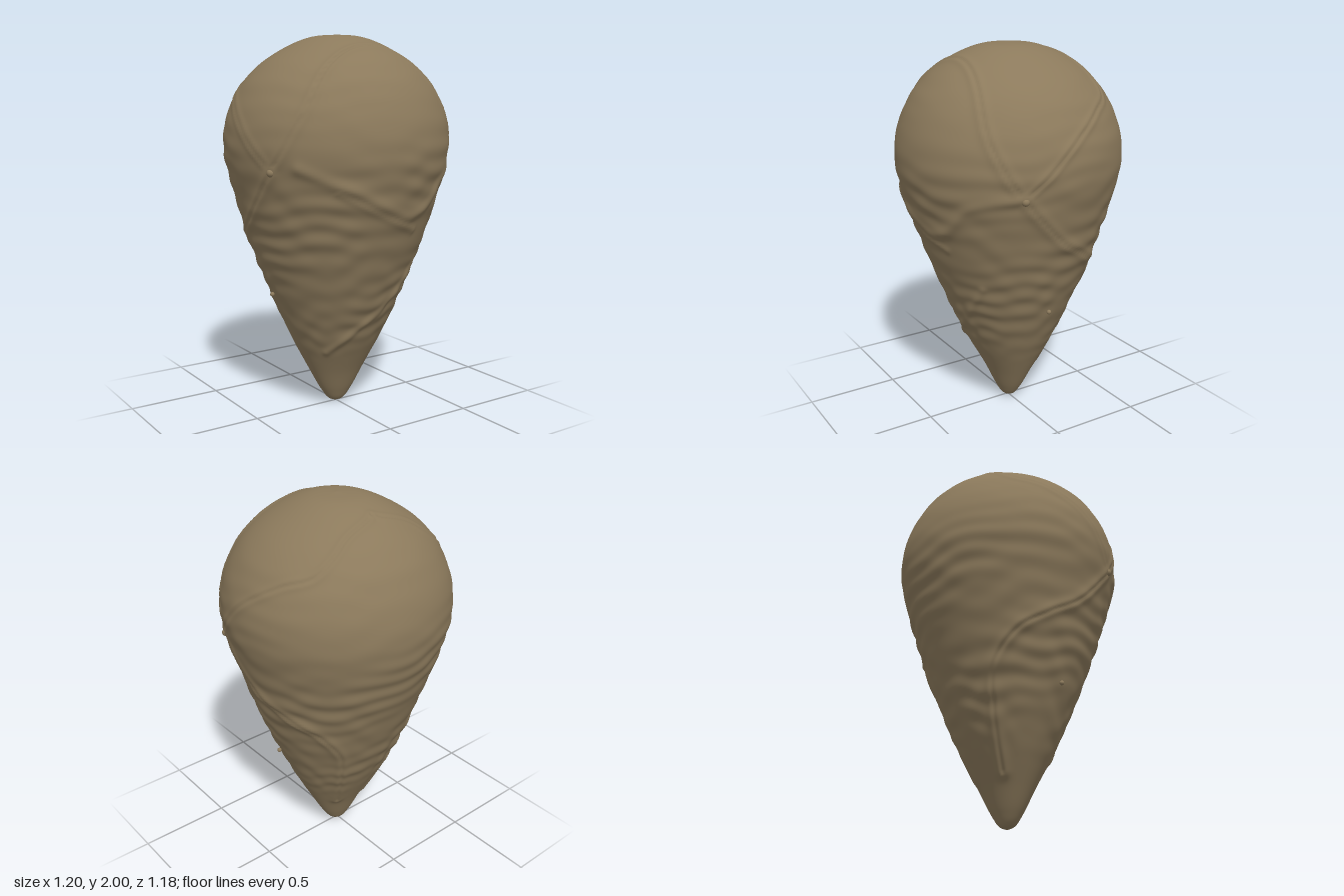
import * as THREE from 'three';

const V = (x, y, z) => new THREE.Vector3(x, y, z);

// Body profile: half-width in x, height, half-depth in z
const profile = new THREE.CatmullRomCurve3([
  [0, 0, 0], [0.045, 0.018, 0.035], [0.09, 0.075, 0.068], [0.16, 0.2, 0.125], [0.262, 0.4, 0.232],
  [0.35, 0.6, 0.325], [0.43, 0.8, 0.405], [0.498, 1.0, 0.48], [0.553, 1.2, 0.548],
  [0.597, 1.4, 0.59], [0.585, 1.56, 0.575], [0.515, 1.72, 0.51], [0.42, 1.83, 0.425],
  [0.28, 1.925, 0.3], [0.14, 1.985, 0.15], [0, 2, 0],
].map(p => V(...p)), false, 'centripetal');
const RINGS = 220, SEGS = 260;
const rings = profile.getSpacedPoints(RINGS);

// Cross-section radii at a given height
function radiiAt(y) {
  let i = 1;
  while (i < RINGS && rings[i].y < y) i++;
  const a = rings[i - 1], b = rings[i];
  const t = THREE.MathUtils.clamp((y - a.y) / (b.y - a.y || 1), 0, 1);
  return a.clone().lerp(b, t);
}

// Move a point horizontally onto the smooth body
function snap(p) {
  const r = radiiAt(p.y), a = Math.atan2(p.z / r.z, p.x / r.x);
  return V(r.x * Math.cos(a), p.y, r.z * Math.sin(a));
}

function seam(points, width, height, groove, mirror) {
  const make = s => new THREE.CatmullRomCurve3(points.map(p => snap(V(p[0] * s, p[1], p[2]))), false, 'centripetal')
    .getSpacedPoints(120).map(snap);
  return (mirror ? [1, -1] : [1]).map(s => {
    const path = make(s);
    return { path, box: new THREE.Box3().setFromPoints(path).expandByScalar(width * 3), width, height, groove };
  });
}

const seams = [
  // rim over the forehead, joining both side knots
  ...seam([[-0.52, 1.32, 0.23], [-0.5, 1.45, 0.32], [-0.43, 1.62, 0.38], [-0.3, 1.81, 0.36], [-0.15, 1.9, 0.32],
    [0, 1.93, 0.28], [0.15, 1.9, 0.32], [0.3, 1.81, 0.36], [0.43, 1.62, 0.38], [0.5, 1.45, 0.32], [0.52, 1.32, 0.23]],
  0.028, 0.013, 0.014, false),
  // crown edge running from each knot over the back of the head
  ...seam([[0.52, 1.33, 0.23], [0.57, 1.45, 0.12], [0.58, 1.57, 0], [0.5, 1.7, -0.2], [0.41, 1.75, -0.32],
    [0.32, 1.82, -0.35], [0.2, 1.89, -0.32], [0, 1.95, -0.23]], 0.024, 0.012, 0.012, true),
  // broad flap sweeping from each knot down the back
  ...seam([[0.52, 1.32, 0.23], [0.52, 1.18, 0.11], [0.5, 1.07, 0], [0.45, 0.98, -0.14], [0.36, 0.88, -0.27],
    [0.24, 0.72, -0.31], [0.17, 0.52, -0.24], [0.1, 0.25, -0.12]], 0.034, 0.014, 0.01, true),
  // soft folds across the front
  ...seam([[-0.44, 1.34, 0.35], [-0.2, 1.22, 0.5], [0, 1.12, 0.53], [0.12, 1.09, 0.52], [0.24, 1.15, 0.47],
    [0.34, 1.26, 0.45], [0.52, 1.33, 0.24]], 0.03, 0.011, 0, false),
  ...seam([[-0.3, 1.23, 0.47], [-0.1, 1.12, 0.52], [0.16, 1.01, 0.46]], 0.02, 0.007, 0, false),
  ...seam([[-0.15, 0.34, 0.14], [-0.06, 0.46, 0.26], [0.1, 0.6, 0.31], [0.26, 0.8, 0.31]], 0.022, 0.009, 0, false),
];

// Outward offset caused by seams
function seamOffset(p) {
  let out = 0;
  for (const s of seams) {
    if (!s.box.containsPoint(p)) continue;
    let d2 = Infinity;
    for (const q of s.path) d2 = Math.min(d2, p.distanceToSquared(q));
    const h = s.height * Math.exp(-d2 / s.width ** 2) - s.groove * Math.exp(-d2 / 0.00015);
    if (Math.abs(h) > Math.abs(out)) out = h;
  }
  return out;
}

// Irregular horizontal wrinkles, strongest at mid-height
function wrinkle(p, a) {
  const warp = 1.5 * Math.sin(3 * a + 4 * p.y) + 0.9 * Math.sin(7 * a - 5 * p.y);
  const band = THREE.MathUtils.smoothstep(p.y, 0.25, 0.55) * (1 - 0.75 * THREE.MathUtils.smoothstep(p.y, 1.2, 1.6))
    * (1 - THREE.MathUtils.smoothstep(p.y, 1.75, 1.95));
  const patch = 0.55 + 0.45 * Math.sin(2 * a + 9 * p.y);
  return band * (0.0035 * patch * Math.sin(62 * p.y + warp) + 0.002 * Math.sin(37 * p.y - 1.4 * warp));
}

function bodyGeometry() {
  const pos = [], index = [];
  rings.forEach((r, i) => {
    const before = rings[Math.max(i - 1, 0)], after = rings[Math.min(i + 1, RINGS)];
    const dr = after.x - before.x, dy = after.y - before.y, len = Math.hypot(dr, dy);
    for (let j = 0; j < SEGS; j++) {
      const a = j / SEGS * Math.PI * 2, c = Math.cos(a), s = Math.sin(a);
      const p = V(r.x * c, r.y, r.z * s);
      const h = i === 0 || i === RINGS ? 0 : seamOffset(p) + wrinkle(p, a);
      pos.push(p.x + h * c * dy / len, p.y - h * dr / len, p.z + h * s * dy / len);
      if (i < RINGS) {
        const k = (j + 1) % SEGS, A = i * SEGS + j, B = i * SEGS + k, C = A + SEGS, D = B + SEGS;
        if (i > 0) index.push(A, C, B);
        if (i < RINGS - 1) index.push(B, C, D);
        else index.push(B, C, D);
      }
    }
  });
  const g = new THREE.BufferGeometry();
  g.setAttribute('position', new THREE.Float32BufferAttribute(pos, 3));
  g.setIndex(index);
  g.computeVertexNormals();
  // the tip and crown each share one straight normal
  for (let j = 0; j < SEGS; j++) {
    g.attributes.normal.setXYZ(j, 0, -1, 0);
    g.attributes.normal.setXYZ(RINGS * SEGS + j, 0, 1, 0);
  }
  return g;
}

export function createModel() {
  const hide = new THREE.MeshStandardMaterial({ color: 0x8c7a5c });
  hide.name = 'brown hide';
  const group = new THREE.Group();
  group.name = 'wrinkledPod';
  const add = (name, geometry, p) => {
    const m = new THREE.Mesh(geometry, hide);
    m.name = name;
    if (p) m.position.copy(p);
    group.add(m);
  };
  add('body', bodyGeometry());

  // Knots where the seams meet, and tiny side nubs
  for (const [side, s] of [['left', 1], ['right', -1]]) {
    add(side + 'Knot', new THREE.SphereGeometry(0.021, 16, 12), snap(V(0.52 * s, 1.32, 0.23)));
    add(side + 'Nub', new THREE.SphereGeometry(0.012, 12, 8), V(0.4 * s, 0.66, 0));
  }
  return group;
}
